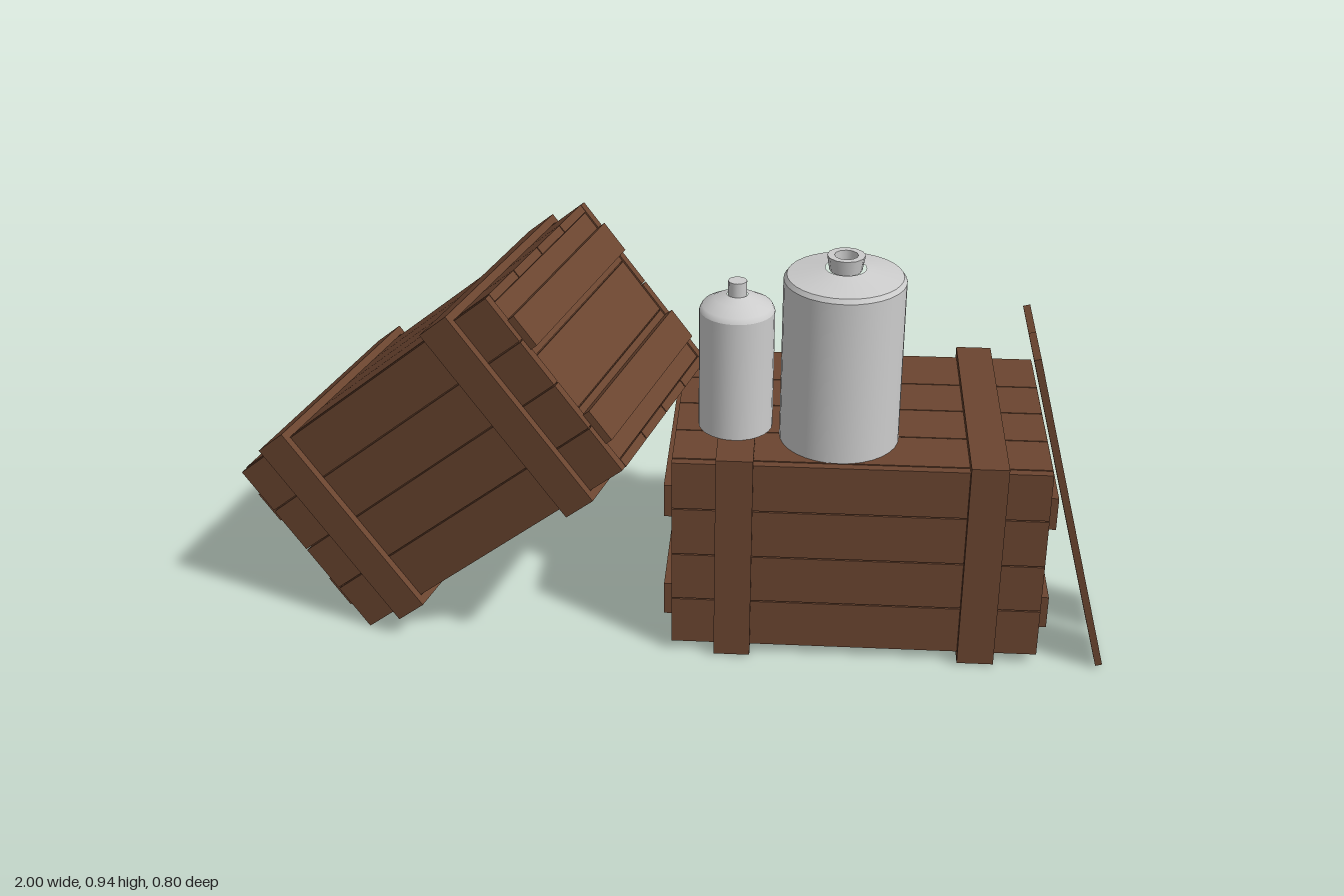
import * as THREE from 'three';

const wood = new THREE.MeshStandardMaterial({ color: 0x6b4530 });
wood.name = 'brown wood';
const metal = new THREE.MeshStandardMaterial({ color: 0xcccccc });
metal.name = 'pale grey';

function box(parent, name, w, h, d, x, y, z) {
  const m = new THREE.Mesh(new THREE.BoxGeometry(w, h, d), wood);
  m.name = name;
  m.position.set(x, y, z);
  parent.add(m);
  return m;
}

// Crate centred on its own origin: core, planks on six sides, battens
function crate(name) {
  const g = new THREE.Group();
  g.name = name;
  const L = 0.84, H = 0.475, D = 0.575, T = 0.02, B = 0.018, gap = 0.003;
  box(g, 'core', L - 0.02, H - 0.02, D - 0.02, 0, 0, 0);

  for (const s of [-1, 1]) {
    // Long side planks, with a wider joint halfway up
    const ph = H / 4;
    for (let i = 0; i < 4; i++) {
      const y = -H / 2 + ph * (i + 0.5);
      box(g, 'sidePlank', L, ph - gap, T, 0, y, s * (D / 2 - T / 2));
    }
    // Lid and floor planks, between the long sides
    const pd = (D - 2 * T) / 4;
    for (let i = 0; i < 4; i++) {
      const z = -D / 2 + T + pd * (i + 0.5);
      box(g, 'lidPlank', L, T, pd - gap, 0, s * (H / 2 - T / 2), z);
    }
    // End planks, set in a touch
    const eh = (H - 2 * T) / 3;
    for (let i = 0; i < 3; i++) {
      const y = -H / 2 + T + eh * (i + 0.5);
      box(g, 'endPlank', T, eh - gap, D - 2 * T - gap, s * (L / 2 - T / 2 - 0.003), y, 0);
    }
    // Batten rings around the body
    const bx = s * 0.28;
    for (const t of [-1, 1]) {
      box(g, 'sideBatten', 0.083, H + 2 * B, B, bx, 0, t * (D / 2 + B / 2));
      box(g, 'lidBatten', 0.083, B, D, bx, t * (H / 2 + B / 2), 0);
      // Horizontal battens across the ends
      box(g, 'endBatten', B + 0.003, 0.08, D - 0.03, s * (L / 2 + B / 2 - 0.0015), t * 0.13, 0);
    }
  }
  return g;
}

// Turned container: separate lathe bands keep the rims crisp
function canister(name, x, y, z, bands, segments) {
  const g = new THREE.Group();
  g.name = name;
  g.position.set(x, y, z);
  bands.forEach(([part, pts, n]) => {
    const geo = new THREE.LatheGeometry(pts.map(p => new THREE.Vector2(...p)), n || segments);
    const m = new THREE.Mesh(geo, metal);
    m.name = part;
    g.add(m);
  });
  return g;
}

export function createModel() {
  const model = new THREE.Group();
  model.name = 'crateStack';

  // Standing crate
  const standing = crate('standingCrate');
  standing.position.set(0.425, 0.263, -0.008);
  model.add(standing);

  // Tipped crate leaning on it
  const tipped = crate('tippedCrate');
  tipped.position.set(-0.475, 0.455, 0);
  tipped.rotation.set(0, THREE.MathUtils.degToRad(-15), THREE.MathUtils.degToRad(40));
  model.add(tipped);

  // Large container with a short open neck
  model.add(canister('largeCanister', 0.375, 0.502, 0.128, [
    ['base', [[0, 0], [0.135, 0]]],
    ['body', [[0.135, 0], [0.135, 0.386]]],
    ['rim', [[0.135, 0.386], [0.128, 0.396]]],
    ['shoulder', [[0.128, 0.396], [0.045, 0.413]]],
    ['neck', [[0.036, 0.408], [0.042, 0.443]], 12],
    ['neckLip', [[0.042, 0.443], [0.026, 0.443]], 12],
    ['neckInside', [[0.026, 0.443], [0.026, 0.418]], 12],
    ['neckFloor', [[0.026, 0.418], [0, 0.418]], 12],
  ], 32));

  // Small container
  model.add(canister('smallCanister', 0.14, 0.52, 0.12, [
    ['base', [[0, 0], [0.084, 0]]],
    ['body', [[0.084, 0], [0.084, 0.285]]],
    ['shoulder', [[0.084, 0.285], [0.078, 0.297], [0.05, 0.312], [0.023, 0.322]]],
    ['neck', [[0.021, 0.32], [0.021, 0.354]], 12],
    ['neckTop', [[0.021, 0.354], [0, 0.354]], 12],
  ], 28));

  // Loose boards leaning on the end of the standing crate
  const lean = THREE.MathUtils.degToRad(14.7);
  [[0.222, 0], [0.07, 0.035]].forEach(([z, skew]) => {
    const b = box(model, 'leaningBoard', 0.016, 0.8, 0.135, 0.886, 0.398, z);
    b.rotation.set(skew, 0, lean, 'ZYX');
  });

  return model;
}
